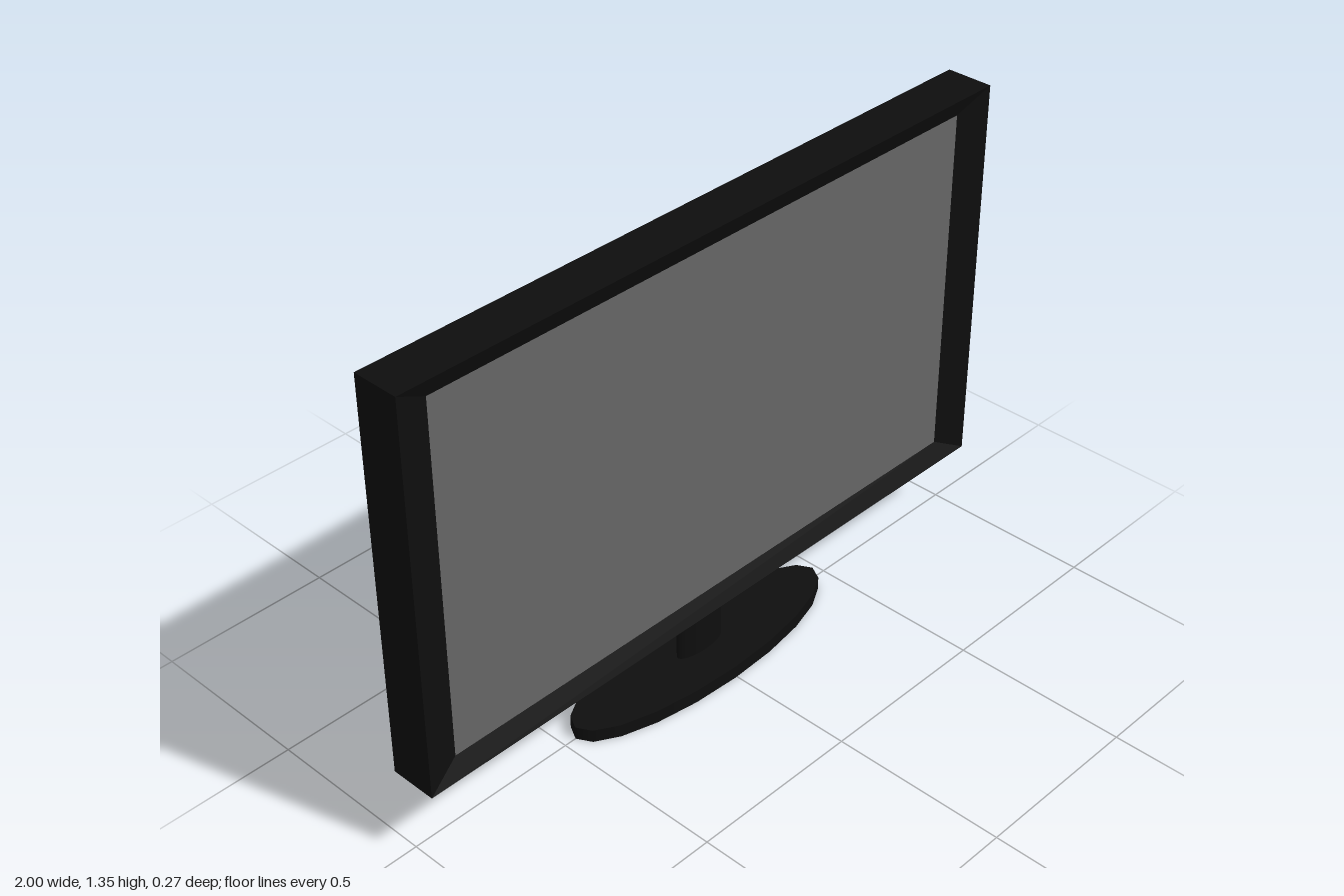
import * as THREE from 'three';

const black = new THREE.MeshStandardMaterial({ color: 0x0e0e0e });
const grey = new THREE.MeshStandardMaterial({ color: 0x666666 });

// Rectangular ring of corners, counter-clockwise seen from the front
const ring = (x, y0, y1, z) => [[-x, y0, z], [x, y0, z], [x, y1, z], [-x, y1, z]];

// Flat-shaded geometry from a list of four-cornered faces
function quads(faces) {
  const pos = faces.flatMap(([a, b, c, d]) => [a, b, c, a, c, d].flat());
  const geo = new THREE.BufferGeometry();
  geo.setAttribute('position', new THREE.Float32BufferAttribute(pos, 3));
  geo.computeVertexNormals();
  return geo;
}

// Faces joining a ring to the next one
const bridge = (a, b) => a.map((p, i) => {
  const j = (i + 1) % 4;
  return [p, a[j], b[j], b[i]];
});

// Upright elliptical cylinder between two heights
function ellipticPost(name, rx, rz, y0, y1) {
  const geo = new THREE.CylinderGeometry(1, 1, y1 - y0, 20);
  geo.scale(rx, 1, rz);
  geo.translate(-0.006, (y0 + y1) / 2, 0);
  const mesh = new THREE.Mesh(geo, black);
  mesh.name = name;
  return mesh;
}

export function createModel() {
  const model = new THREE.Group();
  model.name = 'flatScreenMonitor';

  // Housing: back, four sides and a mitred bezel sloping in to the screen
  const back = ring(1, 0.213, 1.353, -0.055);
  const front = ring(1, 0.213, 1.353, 0.08);
  const inner = ring(0.9, 0.267, 1.295, 0.055);
  const housing = new THREE.Mesh(
    quads([[...back].reverse(), ...bridge(back, front), ...bridge(front, inner)]), black);
  housing.name = 'housing';

  // Recessed display
  const screen = new THREE.Mesh(quads([inner]), grey);
  screen.name = 'screen';

  // Stand
  const stand = new THREE.Group();
  stand.name = 'stand';
  stand.add(
    ellipticPost('neck', 0.081, 0.026, 0.038, 0.22),
    ellipticPost('base', 0.458, 0.134, 0, 0.038));

  model.add(housing, screen, stand);
  return model;
}
